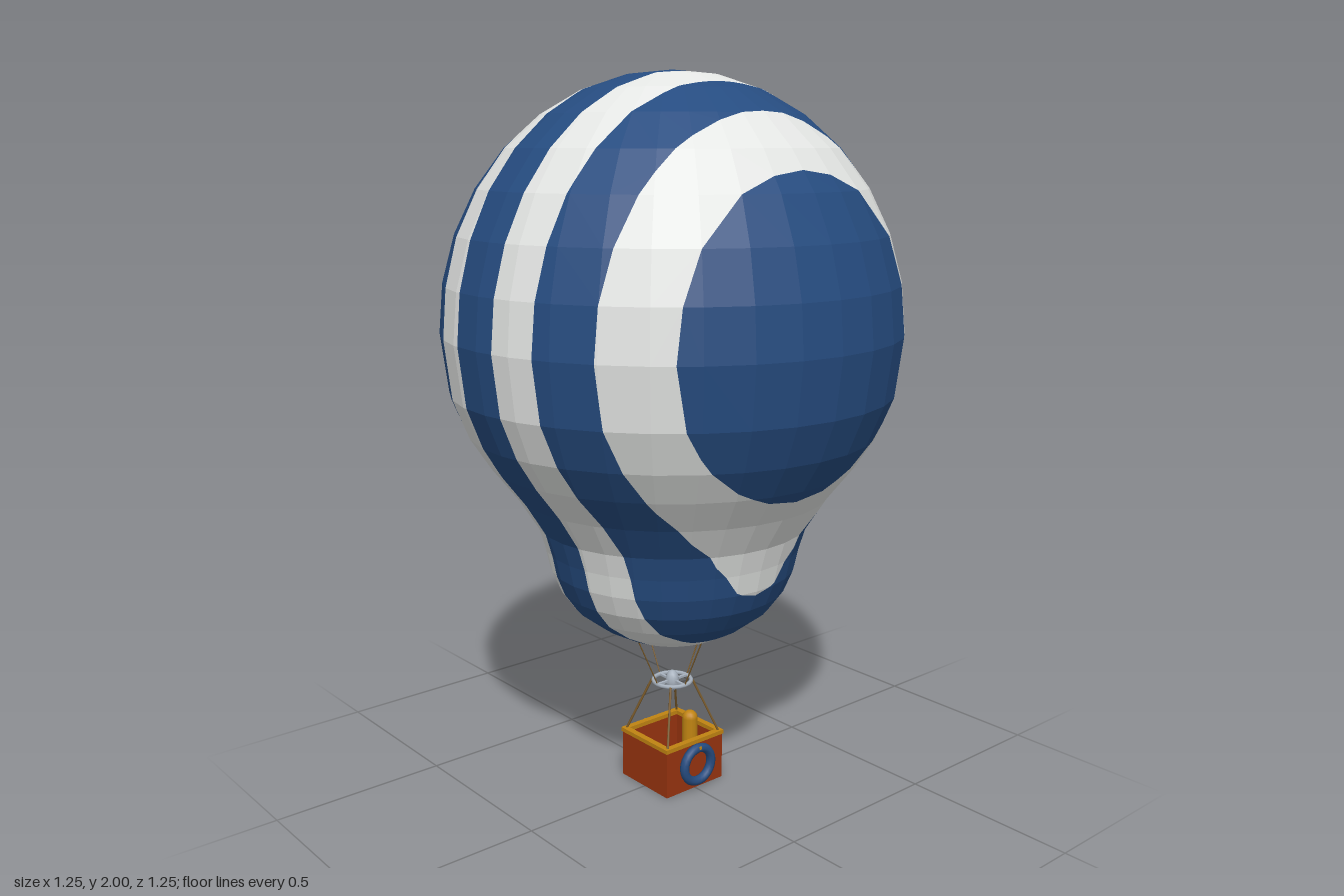
import * as THREE from 'three';

const mat = (name, color, extra = {}) => Object.assign(new THREE.MeshStandardMaterial({ color, ...extra }), { name });

// Keeps the part of a convex polygon where s * (x - c) >= 0
function clip(poly, c, s) {
  const out = [];
  poly.forEach((a, i) => {
    const b = poly[(i + 1) % poly.length];
    const da = s * (a.x - c), db = s * (b.x - c);
    if (da >= 0) out.push(a);
    if ((da > 0 && db < 0) || (da < 0 && db > 0)) out.push(a.clone().lerp(b, da / (da - db)));
  });
  return out;
}

export function createModel() {
  const model = new THREE.Group();
  model.name = 'hotAirBalloon';
  const blue = mat('envelope blue', 0x264c80, { side: THREE.DoubleSide });
  const white = mat('envelope white', 0xe4e6e4, { side: THREE.DoubleSide });
  const wicker = mat('basket red brown', 0x98330f);
  const gold = mat('trim gold', 0xc08412);
  const steel = mat('steel grey', 0xa8b2be);
  const rope = mat('rope brown', 0x7a5a2a);

  const add = (name, geo, material, x = 0, y = 0, z = 0, parent = model) => {
    const m = new THREE.Mesh(geo, material);
    m.name = name;
    m.position.set(x, y, z);
    parent.add(m);
    return m;
  };
  const rod = (name, a, b, r, material) => {
    const d = b.clone().sub(a);
    const m = add(name, new THREE.CylinderGeometry(r, r, d.length(), 6), material);
    m.position.copy(a).addScaledVector(d, 0.5);
    m.quaternion.setFromUnitVectors(new THREE.Vector3(0, 1, 0), d.normalize());
  };

  // Envelope profile (radius, height): open neck, bulge, then ellipsoid crown
  const profile = [[0.15, 0.46], [0.215, 0.495], [0.28, 0.545], [0.32, 0.60], [0.345, 0.66], [0.358, 0.72],
    [0.378, 0.785], [0.435, 0.875], [0.505, 0.965], [0.56, 1.05], [0.605, 1.16]];
  for (let k = 8; k >= 0; k--) {
    const phi = k * Math.PI / 16;
    profile.push([0.625 * Math.sin(phi), 1.32 + 0.68 * Math.cos(phi)]);
  }
  const SIDES = 32;
  const point = (i, j) => {
    const a = i / SIDES * Math.PI * 2, [r, y] = profile[j];
    return new THREE.Vector3(r * Math.cos(a), y, r * Math.sin(a));
  };
  const facets = [];
  for (let j = 0; j < profile.length - 1; j++) {
    for (let i = 0; i < SIDES; i++) {
      const f = [point(i, j), point(i, j + 1), point(i + 1, j + 1), point(i + 1, j)];
      if (j === profile.length - 2) f.splice(2, 1);
      facets.push(f);
    }
  }

  // Stripes: the facets are sliced along x, alternating blue and white
  const envelope = new THREE.Group();
  envelope.name = 'envelope';
  model.add(envelope);
  const cuts = [-1, -0.505, -0.38, -0.222, -0.1, 0.06, 0.19, 0.34, 0.48, 1];
  for (let s = 0; s < cuts.length - 1; s++) {
    const pos = [];
    for (const f of facets) {
      const p = clip(clip(f, cuts[s], 1), cuts[s + 1], -1);
      for (let k = 1; k < p.length - 1; k++) {
        for (const v of [p[0], p[k], p[k + 1]]) pos.push(v.x, v.y, v.z);
      }
    }
    const geo = new THREE.BufferGeometry();
    geo.setAttribute('position', new THREE.Float32BufferAttribute(pos, 3));
    geo.computeVertexNormals();
    add('envelopeStripe' + (s + 1), geo, s % 2 ? white : blue, 0, 0, 0, envelope);
  }

  // Basket: floor, four walls and a trimmed rim
  const H = 0.14, W = 0.1, D = 0.105, T = 0.012;
  add('basketFloor', new THREE.BoxGeometry(2 * W, T, 2 * D), wicker, 0, T / 2, 0);
  for (const s of [-1, 1]) {
    add('basketSideWall', new THREE.BoxGeometry(T, H, 2 * D), wicker, s * (W - T / 2), H / 2, 0);
    add('basketEndWall', new THREE.BoxGeometry(2 * W - 2 * T, H, T), wicker, 0, H / 2, s * (D - T / 2));
    add('rimSide', new THREE.BoxGeometry(0.018, 0.012, 2 * D + 0.006), gold, s * (W - 0.006), H + 0.002, 0);
    add('rimEnd', new THREE.BoxGeometry(2 * W, 0.012, 0.018), gold, 0, H + 0.002, s * (D - 0.006));

    // Life ring hung on each side
    const ring = add('lifeRing', new THREE.TorusGeometry(0.05, 0.0135, 8, 24), blue, s * 0.113, 0.077, 0);
    ring.rotation.y = Math.PI / 2;
    add('ringHook', new THREE.BoxGeometry(0.03, 0.008, 0.008), gold, s * 0.112, 0.131, 0);
  }

  // Gas bottle against the rear wall
  add('gasBottle', new THREE.CylinderGeometry(0.023, 0.023, 0.15, 12), gold, 0, 0.087, -0.068);
  add('gasBottleTop', new THREE.SphereGeometry(0.023, 12, 6, 0, Math.PI * 2, 0, Math.PI / 2), gold, 0, 0.162, -0.068);

  // Burner: load ring, cross bars and body
  const loadRing = add('loadRing', new THREE.TorusGeometry(0.055, 0.006, 6, 20), steel, 0, 0.3, 0);
  loadRing.rotation.x = Math.PI / 2;
  add('crossBarX', new THREE.BoxGeometry(0.11, 0.006, 0.008), steel, 0, 0.3, 0);
  add('crossBarZ', new THREE.BoxGeometry(0.008, 0.006, 0.11), steel, 0, 0.3, 0);
  add('burner', new THREE.SphereGeometry(0.02, 12, 8), steel, 0, 0.298, 0).scale.y = 1.6;

  // Suspension: corner struts below the ring, thin ropes up to the mouth
  const V = (x, y, z) => new THREE.Vector3(x, y, z);
  for (const sx of [-1, 1]) {
    for (const sz of [-1, 1]) rod('strut', V(sx * 0.095, H, sz * 0.098), V(sx * 0.042, 0.3, sz * 0.042), 0.0035, rope);
  }
  for (let i = 0; i < 4; i++) {
    const c = Math.cos(i * Math.PI / 2), s = Math.sin(i * Math.PI / 2);
    rod('mouthRope', V(0.055 * c, 0.3, 0.055 * s), V(0.135 * c, 0.47, 0.135 * s), 0.002, rope);
  }
  return model;
}
